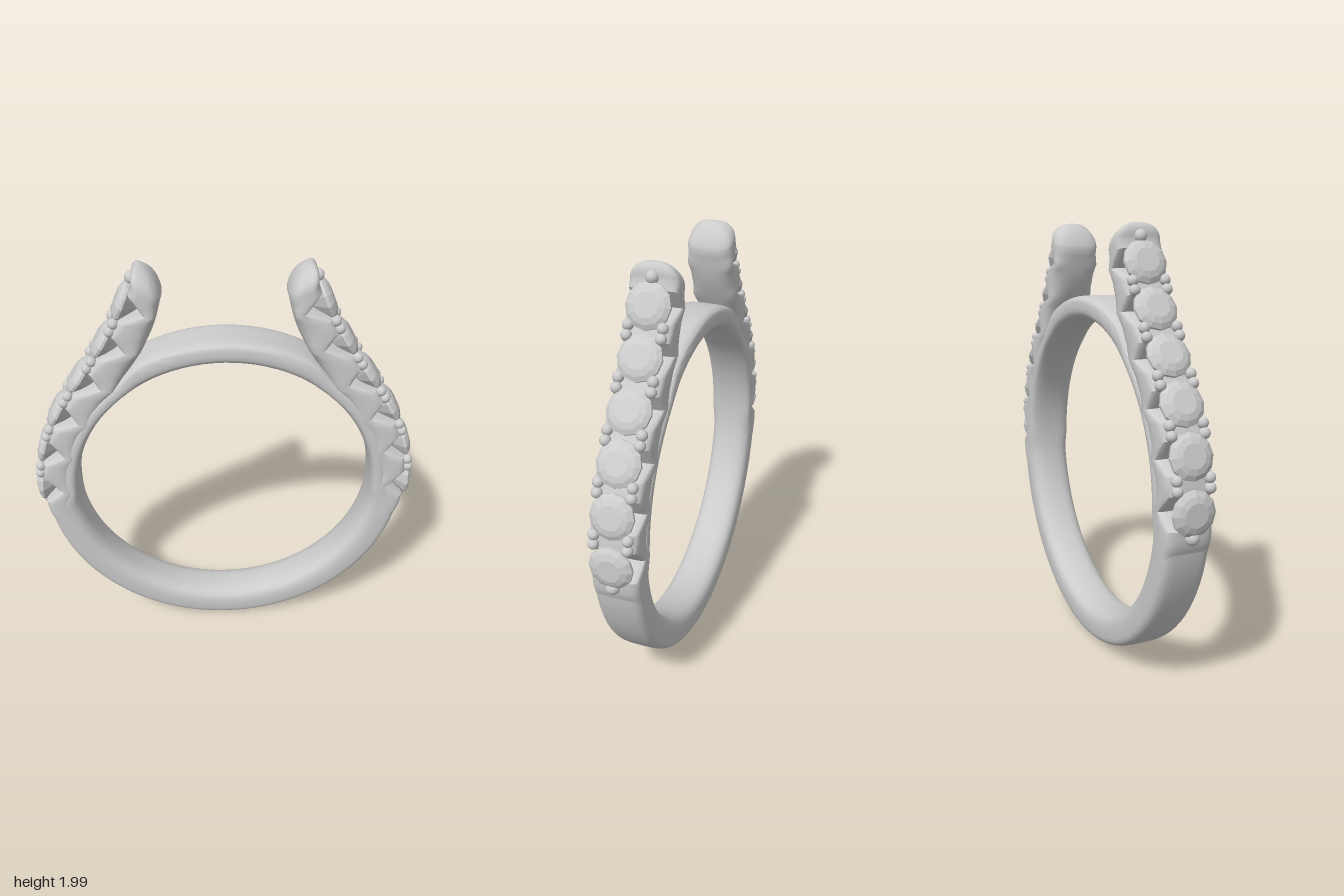
import * as THREE from 'three';
import { toCreasedNormals } from 'three/addons/utils/BufferGeometryUtils.js';

const metal = new THREE.MeshStandardMaterial({ color: 0xcccccc });
const gem = new THREE.MeshStandardMaterial({ color: 0xcccccc, flatShading: true });
const SIDES = 32;

// Rounded cross-section between an inner and an outer point, softer on the finger side
function section(inner, outer, halfZ) {
  const loop = [];
  for (let j = 0; j < SIDES; j++) {
    const a = (j / SIDES) * Math.PI * 2, c = Math.cos(a), s = Math.sin(a);
    const p = c > 0 ? 2 / 4.5 : 2 / 2.8;
    const u = Math.sign(c) * Math.pow(Math.abs(c), p);
    const w = Math.sign(s) * Math.pow(Math.abs(s), p);
    const k = (u + 1) / 2;
    loop.push([
      inner.x + (outer.x - inner.x) * k,
      inner.y + (outer.y - inner.y) * k,
      w * halfZ,
    ]);
  }
  return loop;
}

// Skin a list of cross-sections
function loft(loops, closed) {
  const index = [], n = loops.length;
  for (let i = 0; i < (closed ? n : n - 1); i++) {
    for (let j = 0; j < SIDES; j++) {
      const a = i * SIDES + j, d = i * SIDES + (j + 1) % SIDES;
      const b = ((i + 1) % n) * SIDES + j, c = ((i + 1) % n) * SIDES + (j + 1) % SIDES;
      index.push(a, b, d, b, c, d);
    }
  }
  const g = new THREE.BufferGeometry();
  g.setAttribute('position', new THREE.Float32BufferAttribute(loops.flat(2), 3));
  g.setIndex(index);
  return toCreasedNormals(g, 0.6);
}

function mesh(name, geometry, material) {
  const m = new THREE.Mesh(geometry, material);
  m.name = name;
  return m;
}

// Finger band: thick below, slim where the shoulders cover it, bridge on top
function createBand() {
  const loops = [], N = 96, ss = THREE.MathUtils.smoothstep;
  for (let i = 0; i < N; i++) {
    const a = (i / N) * Math.PI * 2;
    const lift = Math.asin(Math.sin(a));
    const r = 0.86 - 0.09 * ss(lift, -0.14, 0.0) + 0.04 * ss(lift, 0.85, 1.1);
    const at = (q) => new THREE.Vector2(Math.cos(a) * q, 0.87 + Math.sin(a) * q);
    loops.push(section(at(0.7), at(r), 0.107));
  }
  return mesh('band', loft(loops, true), metal);
}

const curve = (pts) => new THREE.CatmullRomCurve3(
  pts.map(([x, y]) => new THREE.Vector3(x, y, 0)), false, 'catmullrom', 0.5);
const outerEdge = curve([[0.84, 0.7], [0.865, 0.79], [0.86, 1.01], [0.8, 1.215],
  [0.7, 1.395], [0.58, 1.57], [0.47, 1.75], [0.385, 1.935]]);
const innerEdge = curve([[0.7, 0.7], [0.712, 0.79], [0.708, 0.98], [0.65, 1.17],
  [0.54, 1.35], [0.41, 1.54], [0.31, 1.72], [0.262, 1.88]]);
const SPANS = 7;

function createShoulder() {
  const shoulder = new THREE.Group();

  // Arm with a V cut under each stone
  const loops = [];
  for (let k = 0; k < SPANS; k++) {
    for (const f of [0, 0.18, 0.34, 0.5, 0.66, 0.82]) {
      const t = (k + f) / SPANS;
      const o = outerEdge.getPoint(t), i = innerEdge.getPoint(t);
      const cut = k ? 0.085 * Math.max(0, 1 - Math.abs(f - 0.5) / 0.32) : 0;
      o.addScaledVector(i.clone().sub(o).normalize(), cut);
      loops.push(section(i, o, 0.108));
    }
  }
  // Domed tip
  const o = outerEdge.getPoint(1), i = innerEdge.getPoint(1);
  const mid = o.clone().add(i).multiplyScalar(0.5);
  for (let s = 0; s <= 8; s++) {
    const a = (s / 8) * Math.PI / 2, c = Math.cos(a);
    const shift = new THREE.Vector3(0.014, 0.0925, 0).multiplyScalar(Math.sin(a));
    const at = (p) => mid.clone().add(shift).addScaledVector(p.clone().sub(mid), c);
    loops.push(section(at(i), at(o), 0.108 * c));
  }
  shoulder.add(mesh('shoulderArm', loft(loops, false), metal));

  // Faceted stones and the beads that hold them
  const stoneGeo = new THREE.LatheGeometry([[0, -0.09], [0.097, -0.008], [0.097, 0.004],
    [0.078, 0.018], [0.052, 0.027], [0, 0.027]].map((p) => new THREE.Vector2(...p)), 12);
  const beadGeo = new THREE.SphereGeometry(1, 14, 10);
  const frame = (t) => {
    const p = outerEdge.getPoint(t), tan = outerEdge.getTangent(t);
    return { p, tan, out: new THREE.Vector3(tan.y, -tan.x, 0) };
  };
  const addBead = (p, r) => {
    const b = mesh('bead', beadGeo, metal);
    b.position.copy(p);
    b.scale.setScalar(r);
    shoulder.add(b);
  };
  for (let k = 1; k < SPANS; k++) {
    const { p, out } = frame((k + 0.5) / SPANS);
    const stone = mesh('stone', stoneGeo, gem);
    stone.position.copy(p).addScaledVector(out, 0.008);
    stone.quaternion.setFromUnitVectors(new THREE.Vector3(0, 1, 0), out);
    shoulder.add(stone);
  }
  for (let k = 2; k < SPANS; k++) {
    const { p, tan, out } = frame(k / SPANS);
    for (const z of [-0.074, 0.074]) {
      for (const s of [-0.021, 0.021]) {
        const q = p.clone().addScaledVector(out, 0.008).addScaledVector(tan, s);
        addBead(q.setZ(z), 0.024);
      }
    }
  }
  addBead(new THREE.Vector3(0.866, 0.79, 0), 0.032);
  addBead(new THREE.Vector3(0.386, 1.948, 0), 0.028);
  return shoulder;
}

export function createModel() {
  const model = new THREE.Group();
  model.name = 'ring';
  model.add(createBand());
  // The two shoulders match under a half turn
  ['leftShoulder', 'rightShoulder'].forEach((name, n) => {
    const s = createShoulder();
    s.name = name;
    s.rotation.y = n * Math.PI;
    model.add(s);
  });
  return model;
}
